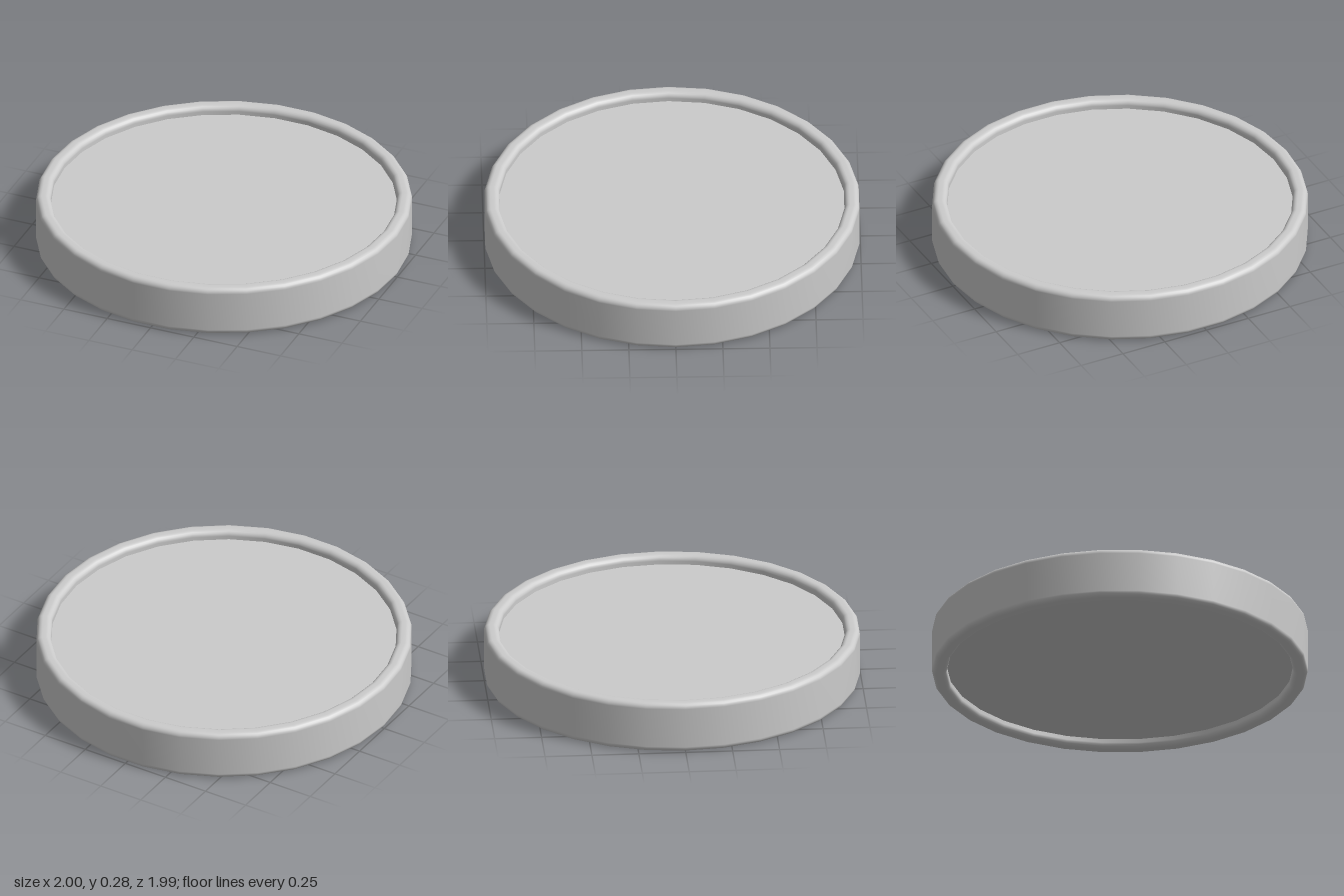
import * as THREE from 'three';

const SIDES = 30;
const START = Math.PI / 2; // puts a corner of the 30-gon on the x axis
const HEIGHT = 0.28;
const OUTER = 1;
const INNER = 0.92;
const ROUND = 0.03;
const RECESS = 0.05;

// Closed rounded-rectangle cross-section, starting on the inner wall
function rimProfile() {
  const corners = [
    [INNER + ROUND, ROUND, Math.PI],
    [OUTER - ROUND, ROUND, 1.5 * Math.PI],
    [OUTER - ROUND, HEIGHT - ROUND, 0],
    [INNER + ROUND, HEIGHT - ROUND, 0.5 * Math.PI],
  ];
  const points = [new THREE.Vector2(INNER, HEIGHT / 2)];
  const steps = 5;
  for (const [x, y, from] of corners) {
    for (let i = 0; i <= steps; i++) {
      const a = from + (i / steps) * Math.PI / 2;
      points.push(new THREE.Vector2(x + ROUND * Math.cos(a), y + ROUND * Math.sin(a)));
    }
  }
  points.push(points[0].clone());
  return points;
}

export function createModel() {
  const group = new THREE.Group();
  group.name = 'roundTray';
  const material = new THREE.MeshStandardMaterial({ color: 0xcccccc });

  // Rounded ring around the edge
  const rim = new THREE.Mesh(new THREE.LatheGeometry(rimProfile(), SIDES, START), material);
  rim.name = 'rim';
  group.add(rim);

  // Plate recessed on both faces, its edge sunk slightly into the rim
  const plate = new THREE.Mesh(
    new THREE.CylinderGeometry(INNER + 0.01, INNER + 0.01, HEIGHT - 2 * RECESS, SIDES, 1, false, START),
    material
  );
  plate.name = 'plate';
  plate.position.y = HEIGHT / 2;
  group.add(plate);

  return group;
}
